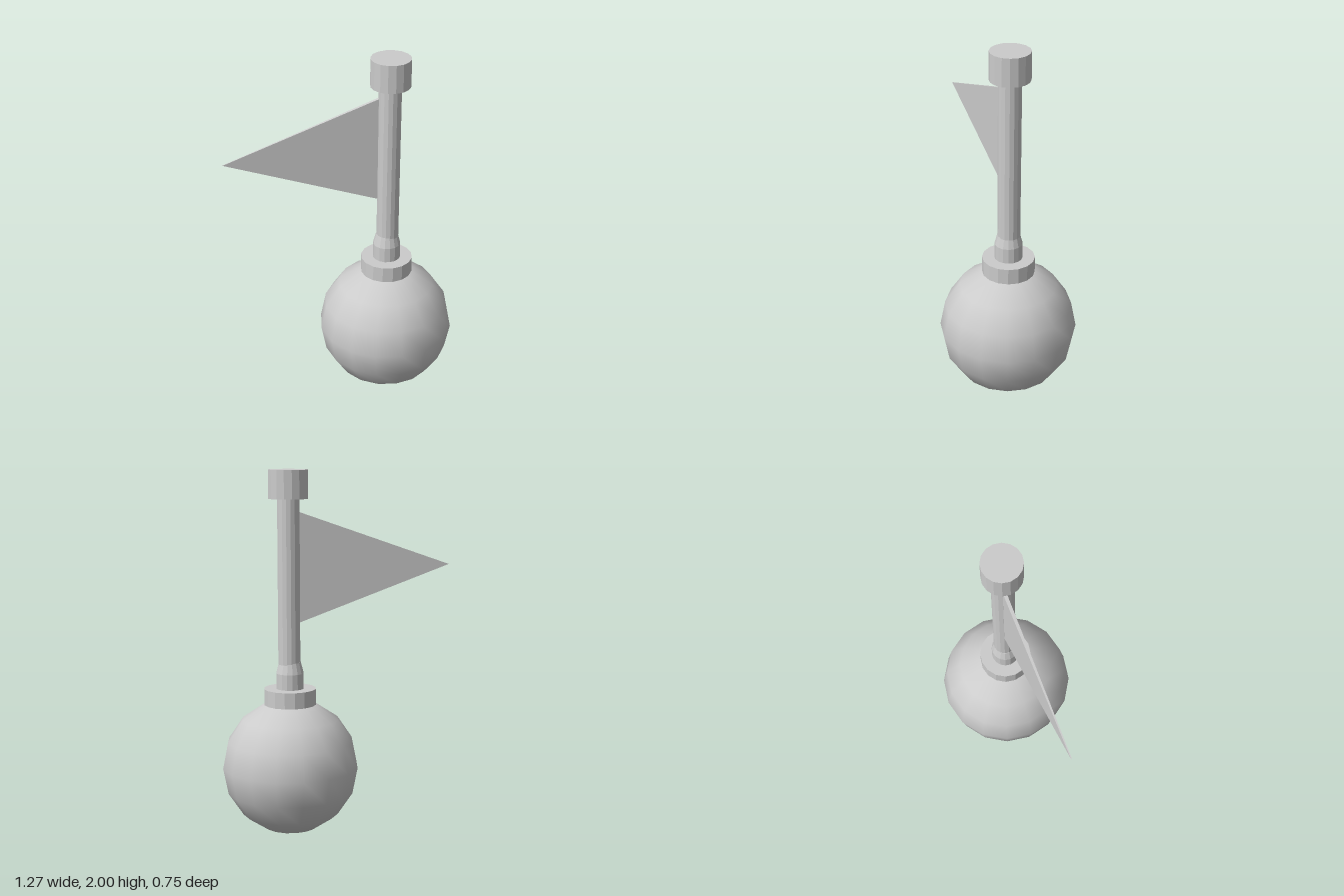
import * as THREE from 'three';

const AXIS_X = 0.258;
const SIDES = 16;

export function createModel() {
  const model = new THREE.Group();
  const smooth = new THREE.MeshStandardMaterial({ color: 0xcccccc });
  const faceted = new THREE.MeshStandardMaterial({ color: 0xcccccc, flatShading: true });

  function add(name, geometry, material, x, y, z) {
    const mesh = new THREE.Mesh(geometry, material);
    mesh.name = name;
    mesh.position.set(x, y, z);
    model.add(mesh);
  }

  // Upright round part between two heights
  function addRound(name, bottom, top, rBottom, rTop = rBottom, x = AXIS_X) {
    const geometry = new THREE.CylinderGeometry(rTop, rBottom, top - bottom, SIDES);
    add(name, geometry, faceted, x, (bottom + top) / 2, 0);
  }

  // Ball base
  add('ball', new THREE.SphereGeometry(0.375, SIDES, 8), smooth, AXIS_X, 0.38, 0);

  // Collar, socket and pole stacked on the ball
  addRound('collar', 0.726, 0.815, 0.143);
  addRound('socket', 0.815, 0.9, 0.076);
  addRound('socketTaper', 0.9, 0.96, 0.076, 0.06);
  addRound('pole', 0.95, 1.85, 0.061, 0.061, 0.261);
  addRound('cap', 1.846, 2, 0.108, 0.108, 0.262);

  // Pennant: a triangle that thins toward its tip
  const outline = new THREE.Shape();
  outline.moveTo(0.205, 1.18);
  outline.lineTo(0.205, 1.775);
  outline.lineTo(-0.635, 1.477);
  const pennant = new THREE.ExtrudeGeometry(outline, { depth: 1, bevelEnabled: false });
  const position = pennant.attributes.position;
  for (let i = 0; i < position.count; i++) {
    const thickness = position.getX(i) > 0 ? 0.019 : 0.005;
    position.setZ(i, (position.getZ(i) - 0.5) * thickness);
  }
  pennant.computeVertexNormals();
  add('pennant', pennant, faceted, 0, 0, -0.013);

  return model;
}
